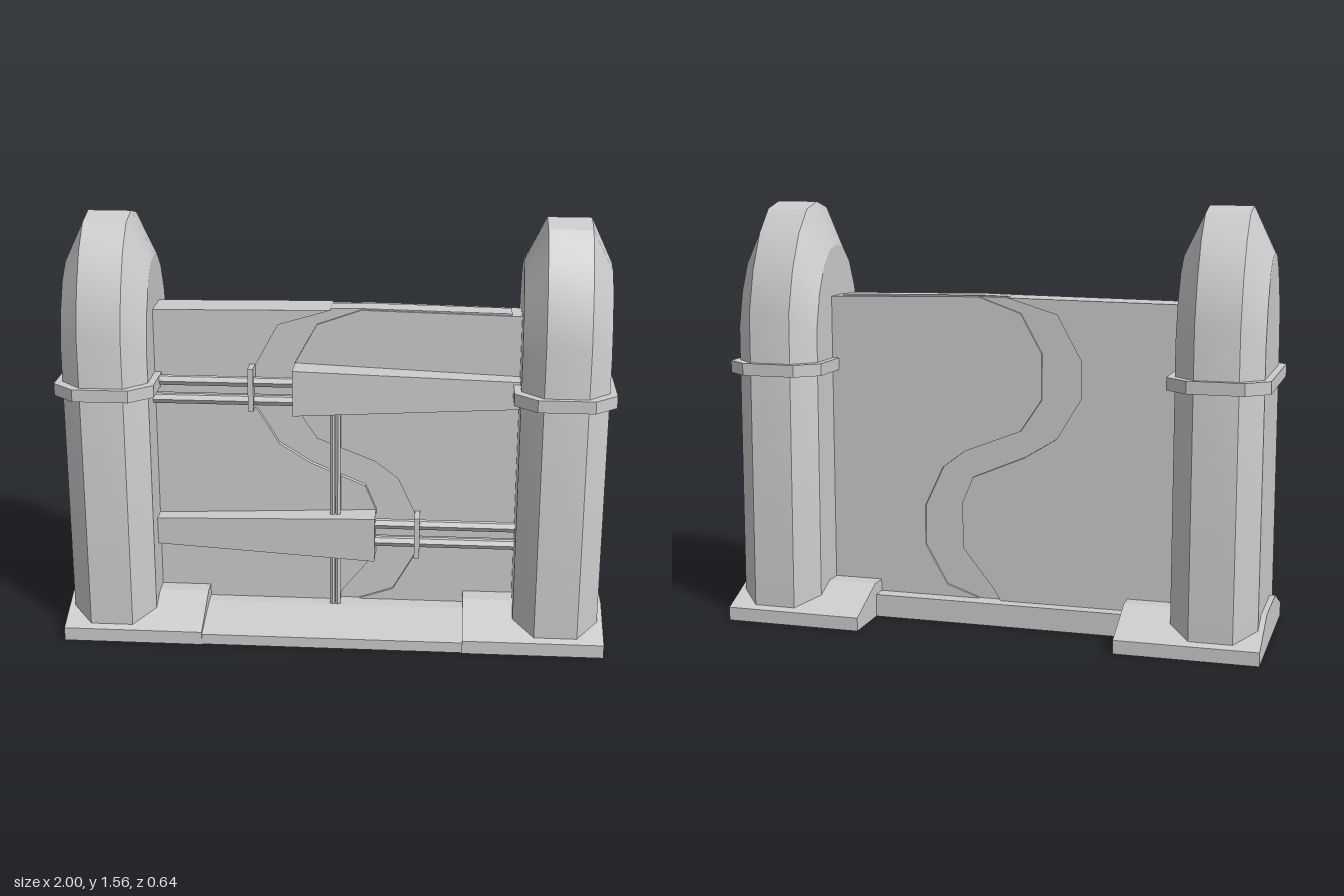
import * as THREE from 'three';
import { toCreasedNormals } from 'three/addons/utils/BufferGeometryUtils.js';

const mat = new THREE.MeshStandardMaterial({ color: 0xcccccc });

function add(parent, name, geo, x = 0, y = 0, z = 0) {
  const m = new THREE.Mesh(geo, mat);
  m.name = name;
  m.position.set(x, y, z);
  parent.add(m);
  return m;
}

function extrude(points, depth) {
  const shape = new THREE.Shape(points.map(([x, y]) => new THREE.Vector2(x, y)));
  return new THREE.ExtrudeGeometry(shape, { depth, bevelEnabled: false });
}

// Profile given as [z, y], swept along x from x0 to x1
function sweepX(points, x0, x1) {
  const g = extrude(points.map(([z, y]) => [-z, y]), x1 - x0);
  g.rotateY(Math.PI / 2);
  g.translate(x0, 0, 0);
  return g;
}

// Arched pillar: four half-arch outlines side by side, chamfered between them
function pillarGeometry() {
  const outer = [[0.295, 0.05], [0.283, 1.16], [0.24, 1.32], [0.175, 1.45], [0.095, 1.535], [0, 1.56]];
  const inner = [[0.215, 0.08], [0.207, 1.1], [0.175, 1.23], [0.125, 1.33], [0.065, 1.385], [0, 1.4]];
  const full = p => [...p, ...p.slice(0, -1).reverse().map(([z, y]) => [-z, y])];
  const rings = [[-0.155, inner], [-0.078, outer], [0.078, outer], [0.155, inner]];
  const pos = [], idx = [], n = 11;
  for (const [x, p] of rings) for (const [z, y] of full(p)) pos.push(x, y, z);
  for (let i = 0; i < 3; i++) {
    for (let j = 0; j < n - 1; j++) {
      const a = i * n + j, b = a + n;
      idx.push(a, b, a + 1, b, b + 1, a + 1);
    }
  }
  for (let j = 1; j < n - 1; j++) {
    idx.push(0, j, j + 1);
    idx.push(3 * n, 3 * n + j + 1, 3 * n + j);
  }
  const g = new THREE.BufferGeometry();
  g.setAttribute('position', new THREE.Float32BufferAttribute(pos, 3));
  g.setIndex(idx);
  return toCreasedNormals(g, 0.45);
}

// Octagonal collar around a pillar
function collarGeometry() {
  const g = extrude([
    [0.1, -0.305], [0.18, -0.235], [0.18, 0.235], [0.1, 0.305],
    [-0.1, 0.305], [-0.18, 0.235], [-0.18, -0.235], [-0.1, -0.305],
  ], 0.045);
  g.rotateX(-Math.PI / 2);
  return g;
}

// Locking arm: tapered beam, twin rods and a clamp
function lockingArm(name) {
  const arm = new THREE.Group();
  arm.name = name;
  const beam = new THREE.BoxGeometry(0.82, 0.17, 0.12);
  const p = beam.attributes.position;
  for (let i = 0; i < p.count; i++) {
    if (p.getX(i) > 0) {
      p.setY(i, p.getY(i) * 0.6);
      if (p.getZ(i) > 0) p.setZ(i, p.getZ(i) - 0.035);
    }
  }
  beam.computeVertexNormals();
  add(arm, 'beam', beam, 0.26, 0, 0.105);
  for (const y of [-0.045, 0.025]) {
    const rod = new THREE.CylinderGeometry(0.019, 0.019, 0.54, 6);
    rod.rotateZ(Math.PI / 2);
    add(arm, 'rod', toCreasedNormals(rod, 0.5), -0.41, y, 0.108);
  }
  add(arm, 'rodBacking', new THREE.BoxGeometry(0.54, 0.03, 0.04), -0.41, -0.01, 0.08);
  add(arm, 'clamp', new THREE.BoxGeometry(0.02, 0.16, 0.075), -0.305, 0, 0.1);
  return arm;
}

export function createModel() {
  const model = new THREE.Group();
  model.name = 'gate';

  // Plinths, pillars and collars
  const foot = [[-0.32, 0], [-0.32, 0.05], [-0.13, 0.13], [0.13, 0.13], [0.32, 0.05], [0.32, 0]];
  const pillar = pillarGeometry(), collar = collarGeometry();
  for (const s of [1, -1]) {
    const side = s > 0 ? 'left' : 'right';
    add(model, side + 'Plinth', sweepX(foot, s > 0 ? 0.48 : -0.995, s > 0 ? 0.995 : -0.48));
    add(model, side + 'Pillar', pillar, s * 0.82);
    add(model, side + 'Collar', collar, s * 0.82, 0.933);
  }

  // Sill between the plinths, sloping down to the front
  add(model, 'sill', sweepX([[-0.12, 0], [-0.12, 0.085], [0.12, 0.085], [0.315, 0.04], [0.315, 0]], -0.48, 0.48));

  // Door leaves meeting along an S-shaped seam
  const seamA = [[0, 0.08], [0.03, 0.13], [0.15, 0.28], [0.15, 0.455], [0.11, 0.55], [-0.09, 0.635],
    [-0.21, 0.71], [-0.3, 0.86], [-0.3, 1.0], [-0.21, 1.165], [-0.02, 1.222]];
  const seamB = [[0.07, 0.08], [0.215, 0.13], [0.3, 0.28], [0.3, 0.43], [0.23, 0.58], [0.145, 0.645],
    [-0.07, 0.73], [-0.15, 0.85], [-0.15, 1.02], [-0.07, 1.165], [0.09, 1.222]];
  add(model, 'rightDoorLeaf', extrude([[-0.68, 0.08], ...seamA, [-0.68, 1.213]], 0.14), 0, 0, -0.07);
  add(model, 'seamStrip', extrude([...seamB, ...[...seamA].reverse()], 0.1), 0, 0, -0.05);
  add(model, 'leftDoorLeaf', extrude([[0.68, 0.08], [0.68, 1.21], ...[...seamB].reverse()], 0.12), 0, 0, -0.06);
  add(model, 'topRail', extrude([[-0.06, 1.2], [0.63, 1.2], [0.63, 1.217], [0.09, 1.226], [-0.02, 1.224]], 0.08), 0, 0, -0.03);

  // Locking arms, the lower one turned half round
  const upper = lockingArm('upperLockingArm');
  upper.position.y = 0.935;
  const lower = lockingArm('lowerLockingArm');
  lower.position.y = 0.372;
  lower.rotation.z = Math.PI;
  model.add(upper, lower);

  // Vertical post of two slim pipes on a backing strip
  add(model, 'postBacking', new THREE.BoxGeometry(0.036, 0.78, 0.05), 0, 0.47, 0.075);
  for (const x of [-0.01, 0.01]) {
    const pipe = new THREE.CylinderGeometry(0.011, 0.011, 0.78, 6);
    add(model, 'postPipe', toCreasedNormals(pipe, 0.5), x, 0.47, 0.105);
  }
  return model;
}
